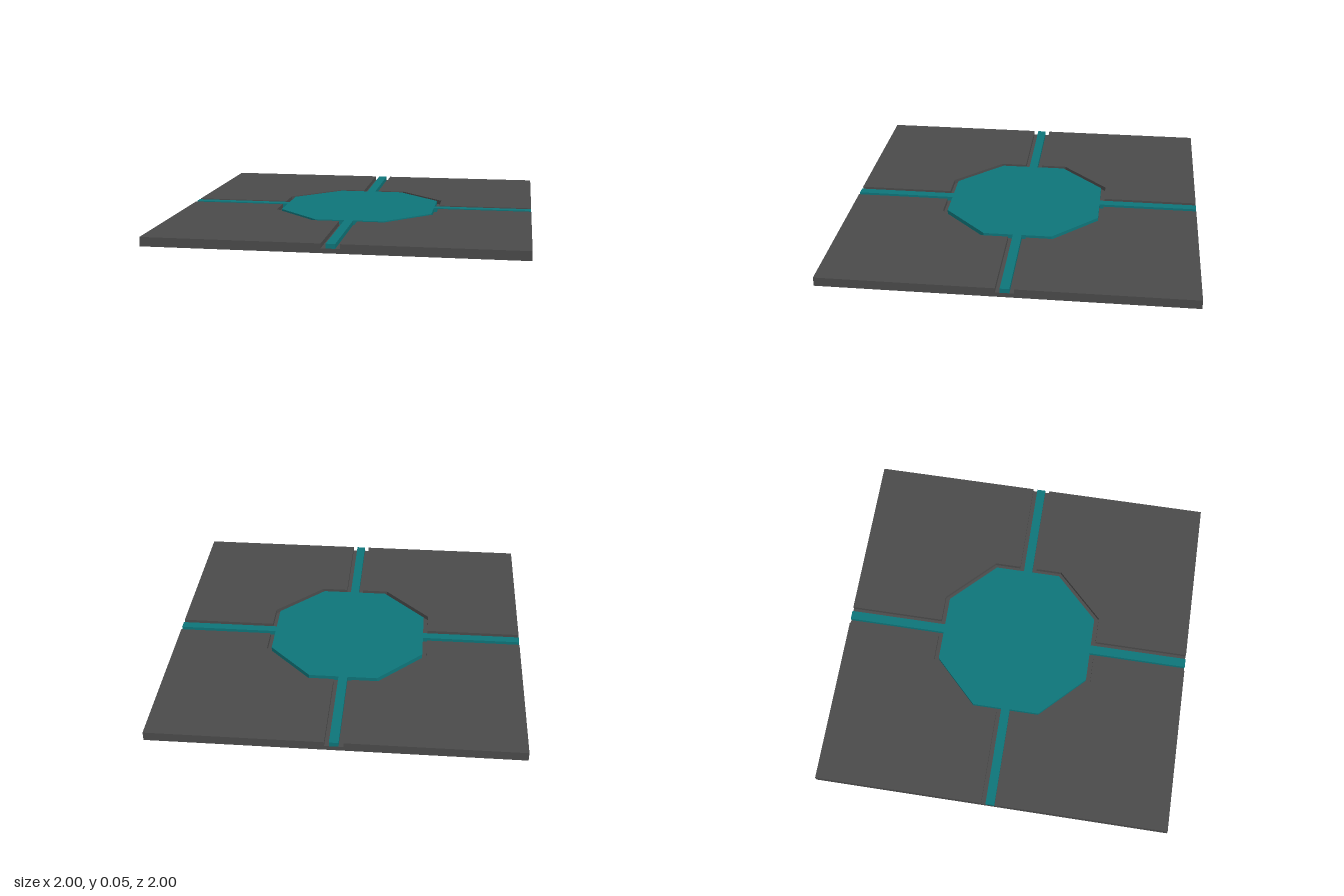
import * as THREE from 'three';

const HEIGHT = 0.05, FLOOR = 0.025;

const stone = new THREE.MeshStandardMaterial({ color: 0x4b4b4b });
const teal = new THREE.MeshStandardMaterial({ color: 0x0e757a });

// Extrude a plan outline upwards from the groove floor to the top surface
function raised(points) {
  const shape = new THREE.Shape(points.map(([x, y]) => new THREE.Vector2(x, y)));
  const geometry = new THREE.ExtrudeGeometry(shape, { depth: HEIGHT - FLOOR, bevelEnabled: false });
  return geometry.rotateX(-Math.PI / 2).translate(0, FLOOR, 0);
}

function add(group, name, geometry, material) {
  const mesh = new THREE.Mesh(geometry, material);
  mesh.name = name;
  group.add(mesh);
  return mesh;
}

export function createModel() {
  const group = new THREE.Group();
  group.name = 'floorTile';

  // Lower slab, whose top is the floor of the grooves
  add(group, 'baseSlab', new THREE.BoxGeometry(2, FLOOR, 2).translate(0, FLOOR / 2, 0), stone);

  // Four corner plates, cut back around the octagon and the strips
  const strip = 0.05, flat = 0.463, corner = 0.2;
  const plate = raised([
    [strip, flat], [corner, flat], [flat, corner], [flat, strip],
    [1, strip], [1, 1], [strip, 1],
  ]);
  for (let i = 0; i < 4; i++) {
    add(group, 'cornerPlate' + (i + 1), plate, stone).rotation.y = i * Math.PI / 2;
  }

  // Octagonal inlay with a strip running to each edge, as one outline
  const arm = 0.025, face = 0.437, cut = 0.19;
  const quarter = [[1, -arm], [1, arm], [face, arm], [face, cut], [cut, face], [arm, face]];
  const outline = [];
  for (let i = 0; i < 4; i++) {
    for (const [x, y] of quarter) {
      outline.push([[x, y], [-y, x], [-x, -y], [y, -x]][i]);
    }
    // inner corner beside the next strip
  }
  add(group, 'octagonInlay', raised(outline), teal);

  return group;
}
